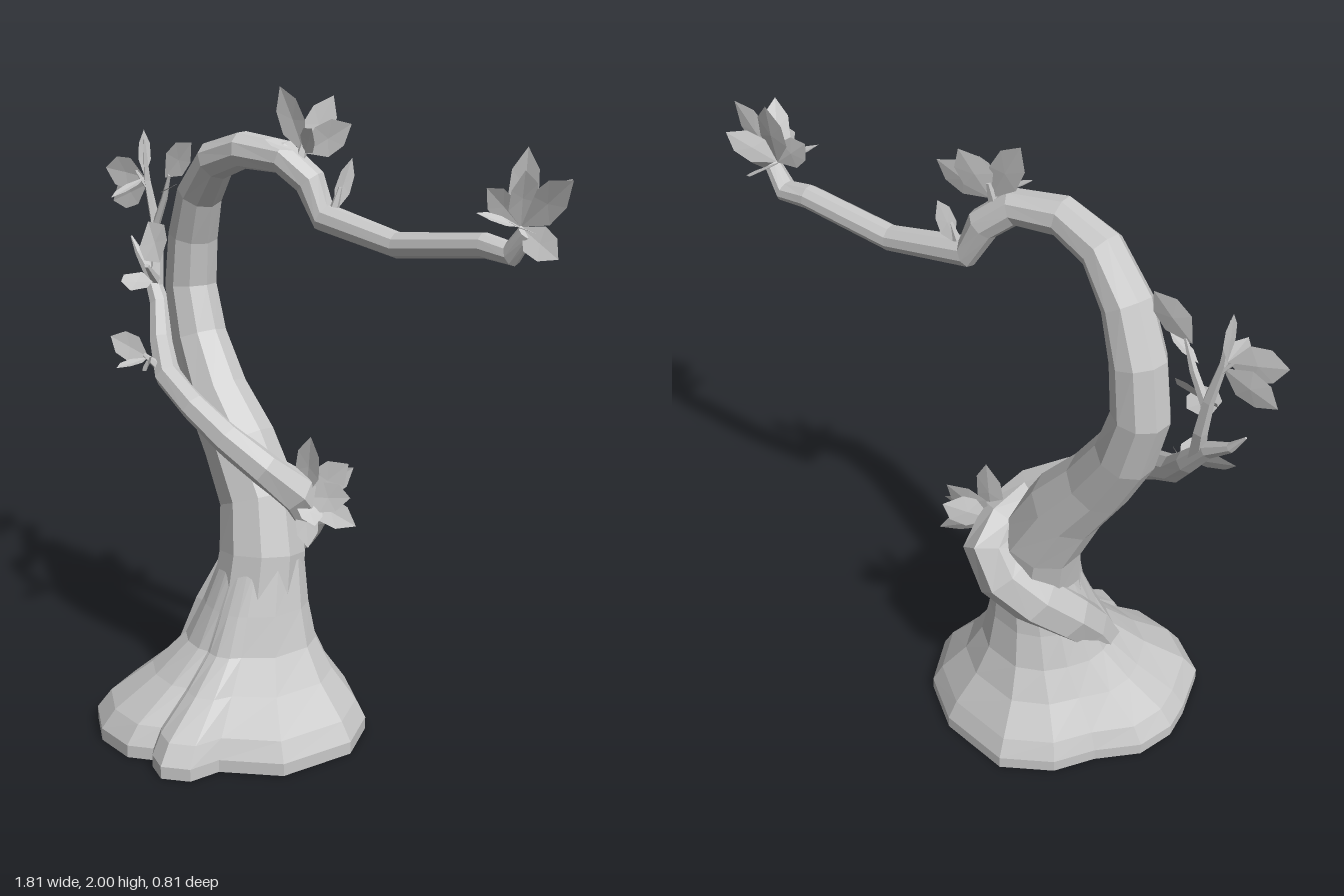
import * as THREE from 'three';

const V = (x, y, z) => new THREE.Vector3(x, y, z);

// Skin a list of equal-length rings, closing both ends with a fan
function loft(rings) {
  const n = rings[0].length, pos = [], idx = [];
  rings.forEach(r => r.forEach(p => pos.push(p.x, p.y, p.z)));
  for (let i = 0; i < rings.length - 1; i++) {
    for (let j = 0; j < n; j++) {
      const k = (j + 1) % n, a = i * n, b = a + n;
      idx.push(a + j, a + k, b + k, a + j, b + k, b + j);
    }
  }
  [0, rings.length - 1].forEach((ri, end) => {
    const c = V(0, 0, 0);
    rings[ri].forEach(p => c.addScaledVector(p, 1 / n));
    const ci = pos.length / 3;
    pos.push(c.x, c.y, c.z);
    for (let j = 0; j < n; j++) {
      const a = ri * n + j, b = ri * n + (j + 1) % n;
      end ? idx.push(ci, a, b) : idx.push(ci, b, a);
    }
  });
  const g = new THREE.BufferGeometry();
  g.setAttribute('position', new THREE.Float32BufferAttribute(pos, 3));
  g.setIndex(idx);
  g.computeVertexNormals();
  return g;
}

// Tapered limb along points [x, y, z, radius]
function limb(path, sides) {
  const pts = path.map(p => V(p[0], p[1], p[2]));
  const normal = V(0, 0, 1);
  return loft(pts.map((p, i) => {
    const t = pts[Math.min(i + 1, pts.length - 1)].clone().sub(pts[Math.max(i - 1, 0)]).normalize();
    normal.addScaledVector(t, -normal.dot(t)).normalize();
    const b = t.clone().cross(normal);
    return Array.from({ length: sides }, (_, j) => {
      const a = j / sides * Math.PI * 2, r = path[i][3];
      return p.clone().addScaledVector(normal, Math.cos(a) * r).addScaledVector(b, Math.sin(a) * r);
    });
  }));
}

// Pointed, slightly cupped leaf; face is the way it looks
function leaf(from, to, width, face) {
  const a = V(...from), dir = V(...to).sub(a), f = V(...face);
  const side = dir.clone().cross(f).normalize();
  const up = side.clone().cross(dir).normalize();
  const at = (u, s, h) => a.clone().addScaledVector(dir, u).addScaledVector(side, s * width).addScaledVector(up, h * width);
  const pts = [at(0, 0, 0), at(0.38, -0.47, 0.03), at(0.72, -0.42, 0.03), at(1, 0, 0),
    at(0.72, 0.42, 0.03), at(0.38, 0.47, 0.03), at(0.5, 0, -0.03)];
  const g = new THREE.BufferGeometry().setFromPoints(pts);
  const idx = [];
  for (let i = 0; i < 6; i++) idx.push(6, i, (i + 1) % 6);
  g.setIndex(idx);
  g.computeVertexNormals();
  return g;
}

export function createModel() {
  const root = new THREE.Group();
  root.name = 'twistedTree';
  const grey = new THREE.MeshStandardMaterial({ color: 0xc8c8c8, flatShading: true, side: THREE.DoubleSide });
  grey.name = 'plain grey';
  const add = (name, geometry, parent = root) => {
    const m = new THREE.Mesh(geometry, grey);
    m.name = name;
    parent.add(m);
  };

  // Lobed root flare: foot outline (x, z) blending into the round trunk
  const foot = [[-0.58, 0], [-0.57, 0.1], [-0.53, 0.26], [-0.41, 0.355], [-0.27, 0.38], [-0.195, 0.34],
    [-0.17, 0.37], [-0.1, 0.405], [-0.02, 0.36], [0.005, 0.26], [0.17, 0.15], [0.237, -0.09],
    [0.17, -0.25], [0.03, -0.36], [-0.2, -0.41], [-0.35, -0.33], [-0.43, -0.22], [-0.54, -0.12]];
  // y, centre x, centre z, radius, blend towards the foot outline
  const levels = [[0, -0.16, -0.05, 0.16, 0.99], [0.04, -0.16, -0.05, 0.16, 0.99], [0.1, -0.16, -0.05, 0.16, 0.85],
    [0.2, -0.15, -0.07, 0.15, 0.48], [0.3, -0.145, -0.08, 0.15, 0.2], [0.42, -0.14, -0.085, 0.145, 0.07],
    [0.57, -0.135, -0.105, 0.128, 0]];
  add('rootFlare', loft(levels.map(([y, cx, cz, r, w]) => foot.map(([x, z]) => {
    const a = Math.atan2(z + 0.03, x + 0.17);
    return V(cx + Math.cos(a) * r, y, cz + Math.sin(a) * r).lerp(V(x, y, z), w);
  }))));

  // Trunk arching over into the long arm
  add('trunk', limb([[-0.15, 0.2, -0.07, 0.15], [-0.14, 0.45, -0.085, 0.143], [-0.135, 0.58, -0.1, 0.135],
    [-0.17, 0.74, -0.125, 0.125], [-0.255, 0.9, -0.13, 0.115], [-0.36, 1.04, -0.14, 0.1], [-0.455, 1.2, -0.165, 0.088],
    [-0.503, 1.36, -0.18, 0.082], [-0.485, 1.52, -0.175, 0.078], [-0.43, 1.66, -0.15, 0.071],
    [-0.33, 1.77, -0.115, 0.062], [-0.2, 1.815, -0.095, 0.055], [-0.06, 1.805, -0.11, 0.05],
    [0.02, 1.74, -0.135, 0.047], [0.07, 1.642, -0.14, 0.043], [0.33, 1.597, -0.138, 0.037],
    [0.62, 1.635, -0.135, 0.035], [0.71, 1.625, -0.13, 0.034], [0.76, 1.69, -0.12, 0.025]], 9));

  // Second stem rising from the side, winding round the back and across the front
  add('windingStem', limb([[-0.29, 0.24, 0.03, 0.07], [-0.275, 0.36, -0.04, 0.075], [-0.255, 0.46, -0.12, 0.08],
    [-0.19, 0.56, -0.2, 0.088], [-0.11, 0.64, -0.238, 0.09], [-0.055, 0.71, -0.225, 0.085],
    [-0.05, 0.78, -0.15, 0.07], [-0.1, 0.86, -0.07, 0.055],
    [-0.22, 0.94, -0.035, 0.05], [-0.35, 1.02, -0.025, 0.045], [-0.48, 1.09, -0.045, 0.043],
    [-0.58, 1.17, -0.12, 0.038], [-0.65, 1.27, -0.185, 0.032], [-0.72, 1.36, -0.215, 0.024],
    [-0.79, 1.41, -0.235, 0.014], [-0.83, 1.46, -0.24, 0.003]], 7));

  // Fine twigs on the stem and arch
  const twigs = [
    [[-0.68, 1.31, -0.2, 0.024], [-0.7, 1.42, -0.23, 0.02], [-0.72, 1.53, -0.24, 0.016], [-0.75, 1.65, -0.24, 0.011], [-0.76, 1.78, -0.24, 0.003]],
    [[-0.715, 1.5, -0.235, 0.014], [-0.67, 1.6, -0.235, 0.011], [-0.64, 1.68, -0.23, 0.005]],
    [[-0.74, 1.62, -0.24, 0.01], [-0.79, 1.68, -0.23, 0.004]],
    [[-0.68, 1.34, -0.2, 0.018], [-0.66, 1.4, -0.14, 0.008]],
    [[-0.5, 1.1, -0.05, 0.02], [-0.56, 1.15, -0.02, 0.006]],
    [[-0.01, 1.79, -0.12, 0.02], [0, 1.87, -0.14, 0.006]],
    [[0.09, 1.63, -0.14, 0.02], [0.11, 1.73, -0.16, 0.006]]];
  const twigGroup = new THREE.Group();
  twigGroup.name = 'twigs';
  root.add(twigGroup);
  twigs.forEach(t => add('twig', limb(t, 5), twigGroup));

  // Leaf sprays: shared base, then [tip, width, facing, optional own base]
  const F = [0, 0, 1], U = [0, 1, 0.3], S = [1, 0.2, 0.2];
  const sprays = {
    archLeaves: [[0, 1.82, -0.13], [
      [[-0.1, 2.0, -0.14], 0.1, F], [[0.05, 1.98, -0.2], 0.09, [0.5, 0, 1]], [[0.14, 1.91, -0.17], 0.1, F],
      [[-0.08, 1.86, -0.05], 0.07, U, [-0.01, 1.83, -0.1]], [[0.12, 1.81, -0.2], 0.06, S, [0.1, 1.66, -0.15]],
      [[0.07, 1.9, -0.08], 0.07, [0.4, 0.5, 1]]]],
    armLeaves: [[0.74, 1.7, -0.12], [
      [[0.63, 1.79, -0.12], 0.09, F], [[0.72, 1.9, -0.17], 0.1, F], [[0.79, 1.86, -0.05], 0.09, [1, 0, 0.6]],
      [[0.9, 1.84, -0.1], 0.1, F], [[0.88, 1.64, -0.08], 0.09, [0, 0.6, 1]], [[0.82, 1.73, 0.02], 0.09, [0.6, 1, 0.3]],
      [[0.7, 1.74, -0.28], 0.09, [0.6, 1, 0.3]], [[0.82, 1.82, -0.23], 0.08, S], [[0.66, 1.74, -0.03], 0.07, U]]],
    trunkLeaves: [[-0.02, 0.76, -0.17], [
      [[-0.09, 0.86, -0.11], 0.09, F], [[0, 0.96, -0.17], 0.1, F], [[0.1, 0.88, -0.23], 0.11, F],
      [[0.14, 0.79, -0.19], 0.1, [0, 0.5, 1]], [[0.14, 0.69, -0.22], 0.09, [0, 0.6, 1]], [[0, 0.6, -0.16], 0.08, [1, 0, 0.6]],
      [[0.08, 0.85, -0.28], 0.1, S], [[0.06, 0.7, -0.12], 0.08, [0.6, 1, 0.4]]]],
    twigLeaves: [[-0.76, 1.66, -0.24], [
      [[-0.91, 1.68, -0.21], 0.11, F], [[-0.9, 1.57, -0.23], 0.1, F, [-0.75, 1.64, -0.24]],
      [[-0.77, 1.81, -0.25], 0.05, S], [[-0.73, 1.62, -0.06], 0.05, U],
      [[-0.55, 1.79, -0.24], 0.1, F, [-0.66, 1.67, -0.23]], [[-0.58, 1.66, -0.2], 0.05, U, [-0.68, 1.62, -0.23]],
      [[-0.56, 1.43, -0.1], 0.12, [0.2, 0.4, 1], [-0.74, 1.52, -0.23]],
      [[-0.57, 1.36, 0.02], 0.1, [0.5, 0.8, 0.4], [-0.67, 1.38, -0.13]]]],
    stemLeaves: [[-0.55, 1.14, -0.03], [
      [[-0.72, 1.18, -0.03], 0.09, [0, 0.5, 1]], [[-0.52, 1.11, 0.01], 0.06, F], [[-0.56, 1.13, 0.1], 0.06, U]]],
  };
  for (const [name, [base, leaves]] of Object.entries(sprays)) {
    const spray = new THREE.Group();
    spray.name = name;
    root.add(spray);
    leaves.forEach(([tip, width, face, own]) => add('leaf', leaf(own || base, tip, width, face), spray));
  }
  return root;
}
